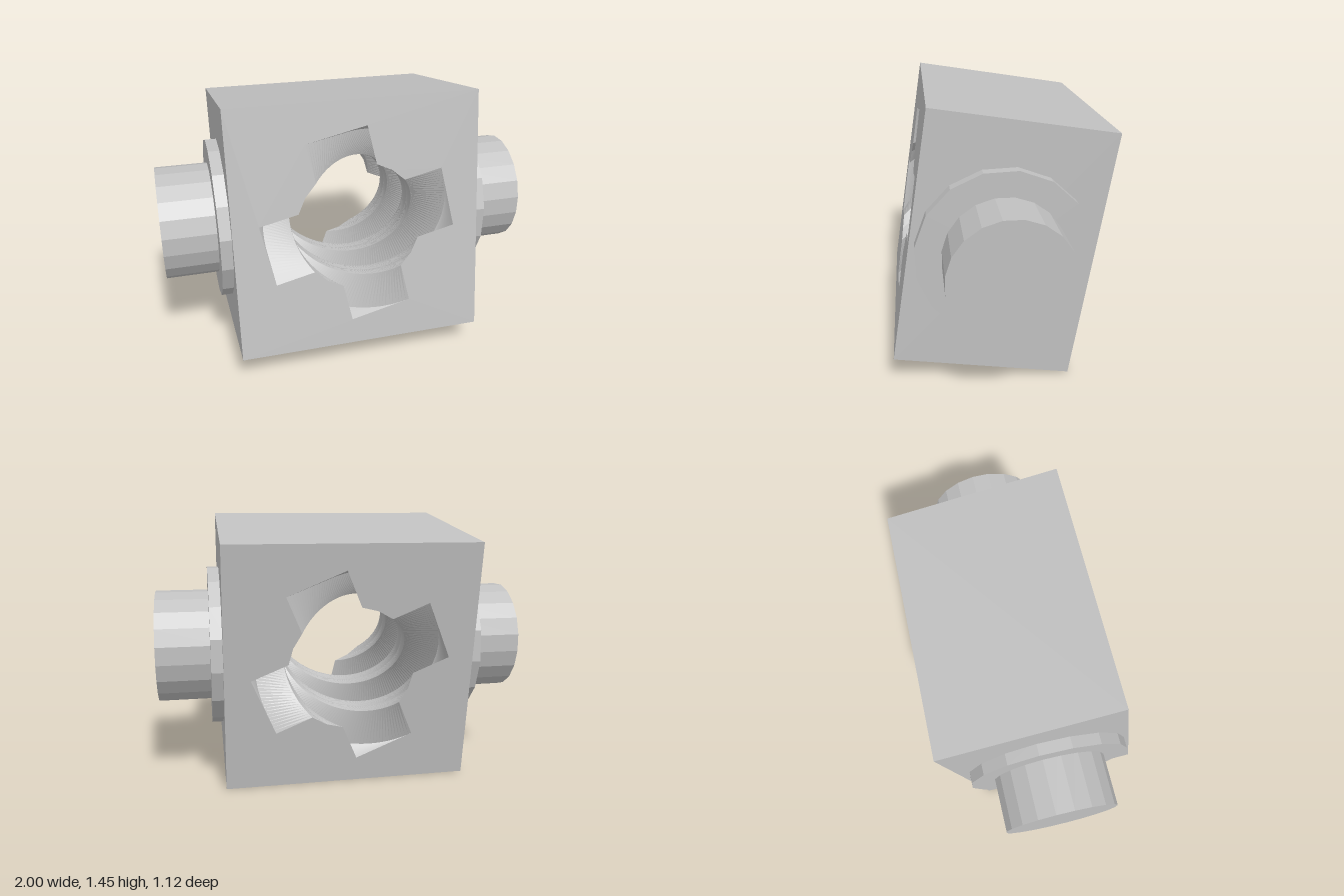
import * as THREE from 'three';

const HALF = 0.66, DEPTH = 0.926;          // block half width/height, and depth
const RADIUS = 0.335, ARM = 0.5, ARM_HALF = 0.165;
const FRONT_ANGLE = THREE.MathUtils.degToRad(12);
const TWIST = THREE.MathUtils.degToRad(-215); // from front to back
const SLICES = 110;

// Faceted look: separate corners with one normal per face
function faceted(geometry) {
  const flat = geometry.index ? geometry.toNonIndexed() : geometry;
  flat.computeVertexNormals();
  return flat;
}

// Bore cross-section: a circle with four square-ended slots, counter-clockwise
function boreOutline(angle) {
  const points = [];
  const inner = Math.asin(ARM_HALF / RADIUS);
  const tip = Math.atan2(ARM_HALF, ARM), tipRadius = Math.hypot(ARM, ARM_HALF);
  for (let i = 0; i < 4; i++) {
    const a = angle + i * Math.PI / 2;
    const corners = [[RADIUS, -inner], [tipRadius, -tip], [tipRadius, tip], [RADIUS, inner], [RADIUS, Math.PI / 4]];
    for (const [r, t] of corners) points.push(new THREE.Vector2(r * Math.cos(a + t), r * Math.sin(a + t)));
  }
  return points;
}

// Square face pierced by the bore
function piercedFace(angle) {
  const shape = new THREE.Shape([[-1, -1], [1, -1], [1, 1], [-1, 1]].map(([x, y]) => new THREE.Vector2(x * HALF, y * HALF)));
  shape.holes.push(new THREE.Path(boreOutline(angle)));
  return new THREE.ShapeGeometry(shape);
}

// Helical wall of the bore, facing its axis
function boreWall() {
  const positions = [], index = [];
  const n = boreOutline(0).length;
  for (let k = 0; k <= SLICES; k++) {
    const t = k / SLICES;
    for (const p of boreOutline(FRONT_ANGLE + TWIST * t)) positions.push(p.x, p.y, DEPTH * (0.5 - t));
  }
  for (let k = 0; k < SLICES; k++) {
    for (let i = 0; i < n; i++) {
      const a = k * n + i, b = k * n + (i + 1) % n;
      index.push(a, b, a + n, b, b + n, a + n);
    }
  }
  const geometry = new THREE.BufferGeometry();
  geometry.setAttribute('position', new THREE.Float32BufferAttribute(positions, 3));
  geometry.setIndex(index);
  return geometry;
}

export function createModel() {
  const grey = new THREE.MeshStandardMaterial({ color: 0xc0c0c0 });
  grey.name = 'grey';
  const model = new THREE.Group();
  model.name = 'twistedBoreBlock';

  // Everything leans back about the shaft axis
  const tilted = new THREE.Group();
  tilted.name = 'tiltedBody';
  tilted.position.y = 0.725;
  tilted.rotation.x = THREE.MathUtils.degToRad(-9);
  model.add(tilted);

  const add = (name, geometry) => {
    const mesh = new THREE.Mesh(faceted(geometry), grey);
    mesh.name = name;
    tilted.add(mesh);
    return mesh;
  };

  // Block: four closed sides, two pierced faces and the bore
  const sides = new THREE.BoxGeometry(2 * HALF, 2 * HALF, DEPTH);
  sides.setIndex(Array.from(sides.index.array).slice(0, 24));
  add('blockSides', sides);
  add('frontFace', piercedFace(FRONT_ANGLE)).position.z = DEPTH / 2;
  const back = add('backFace', piercedFace(Math.PI - FRONT_ANGLE - TWIST));
  back.rotation.y = Math.PI;
  back.position.z = -DEPTH / 2;
  add('twistedBore', boreWall());

  // Collar and shaft stub on each side
  for (const [side, s] of [['left', 1], ['right', -1]]) {
    const collar = add(side + 'Collar', new THREE.CylinderGeometry(0.437, 0.437, 0.08, 16));
    collar.position.x = s * 0.68;
    const shaft = add(side + 'Shaft', new THREE.CylinderGeometry(0.306, 0.306, 0.35, 20));
    shaft.position.x = s * 0.825;
    collar.rotation.z = shaft.rotation.z = -s * Math.PI / 2;
  }
  return model;
}
